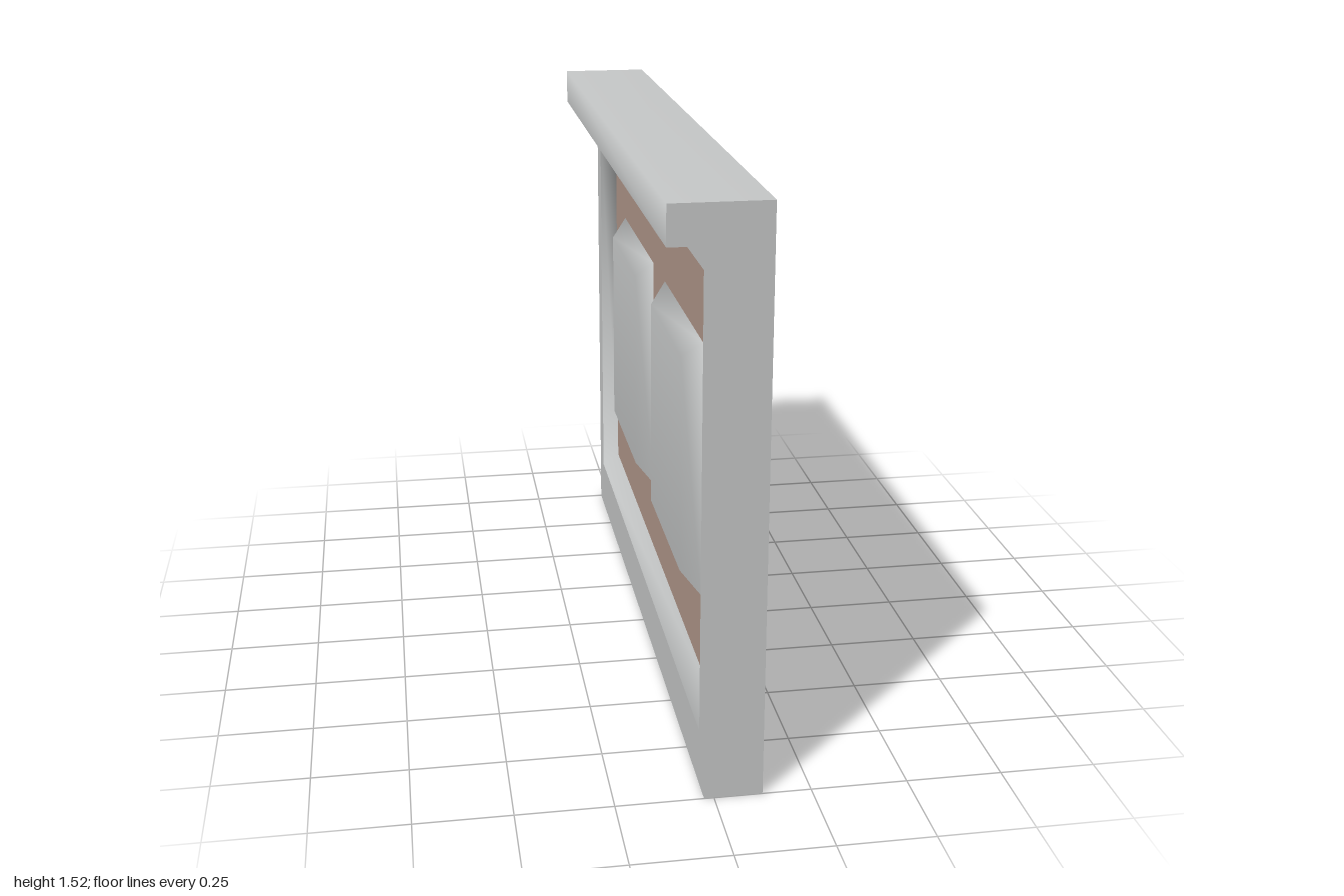
import * as THREE from 'three';
import { mergeVertices } from 'three/addons/utils/BufferGeometryUtils.js';

const grey = new THREE.MeshStandardMaterial({ color: 0xc6c8c8 });
grey.name = 'stone grey';
const brown = new THREE.MeshStandardMaterial({ color: 0xb2978a });
brown.name = 'panel brown';

const WALL_FRONT = -0.025, WALL_BACK = 0.125, PANEL_X = 0.022;
const LEDGE_X = -0.125, LEDGE_Y = 1.42, TOP = 1.52;

// Rectangle in the z-y plane, counter-clockwise as seen from -x
const rect = (x, z0, z1, y0, y1) => [[x, y0, z0], [x, y0, z1], [x, y1, z1], [x, y1, z0]];

// Skin through a series of rectangles, flat or smooth, optionally capped on the last one
function loft(name, loops, { cap = false, smooth = false } = {}) {
  const pos = [];
  const quad = (a, b, c, d) => pos.push(...a, ...b, ...c, ...a, ...c, ...d);
  for (let k = 0; k + 1 < loops.length; k++) {
    const a = loops[k], b = loops[k + 1];
    for (let i = 0; i < 4; i++) {
      const j = (i + 1) % 4;
      quad(a[i], a[j], b[j], b[i]);
    }
  }
  if (cap) quad(...loops[loops.length - 1]);
  let geo = new THREE.BufferGeometry();
  geo.setAttribute('position', new THREE.Float32BufferAttribute(pos, 3));
  if (smooth) geo = mergeVertices(geo);
  geo.computeVertexNormals();
  return named(name, geo, grey);
}

function named(name, geo, material) {
  const mesh = new THREE.Mesh(geo, material);
  mesh.name = name;
  return mesh;
}

export function createModel() {
  const group = new THREE.Group();
  group.name = 'panelledWall';

  // Wall sides and front border
  const opening = rect(WALL_FRONT, -0.925, 0.925, 0.15, 1.345);
  group.add(loft('wallFrame', [
    rect(WALL_BACK, -1, 1, 0, LEDGE_Y),
    rect(WALL_FRONT, -1, 1, 0, LEDGE_Y),
    opening,
  ]));

  // Sloping reveal down to the panel
  group.add(loft('reveal', [opening, rect(PANEL_X, -0.885, 0.885, 0.2, 1.295)], { smooth: true }));

  // Plain back of the wall
  const back = named('wallBack', new THREE.PlaneGeometry(2, TOP), grey);
  back.rotation.y = Math.PI / 2;
  back.position.set(WALL_BACK, TOP / 2, 0);
  group.add(back);

  // Brown panel with two openings
  const outline = (z0, z1, y0, y1, Type) => new Type(
    rect(0, z0, z1, y0, y1).map(([, y, z]) => new THREE.Vector2(z, y)));
  const panel = outline(-0.885, 0.885, 0.2, 1.295, THREE.Shape);
  const bevel = 0.05;
  for (const [z0, z1] of [[-0.68, -0.1], [0.1, 0.68]]) {
    panel.holes.push(outline(z0, z1, 0.405, 1.093, THREE.Path));
    // Raised field with bevelled edges, flush with the border
    group.add(loft('raisedField', [
      rect(PANEL_X, z0, z1, 0.405, 1.093),
      rect(WALL_FRONT, z0 + bevel, z1 - bevel, 0.405 + bevel, 1.093 - bevel),
    ], { cap: true, smooth: true }));
  }
  const panelMesh = named('brownPanel', new THREE.ShapeGeometry(panel), brown);
  panelMesh.rotation.y = -Math.PI / 2;
  panelMesh.position.x = PANEL_X;
  group.add(panelMesh);

  // Ledge top and outer face, shaded smoothly over the shared edge: x, y, normal x, normal y
  const edge = [
    [WALL_BACK, TOP, 0, 1],
    [LEDGE_X, TOP, -0.78, 0.62],
    [LEDGE_X, LEDGE_Y, -1, 0],
  ];
  const ledgeGeo = new THREE.BufferGeometry();
  ledgeGeo.setAttribute('position', new THREE.Float32BufferAttribute(
    edge.flatMap(([x, y]) => [x, y, -1, x, y, 1]), 3));
  ledgeGeo.setAttribute('normal', new THREE.Float32BufferAttribute(
    edge.flatMap(([, , nx, ny]) => [nx, ny, 0, nx, ny, 0]), 3));
  ledgeGeo.setIndex([0, 2, 3, 0, 3, 1, 2, 4, 5, 2, 5, 3]);
  group.add(named('ledgeTop', ledgeGeo, grey));

  // Ledge ends
  const width = WALL_BACK - LEDGE_X, height = TOP - LEDGE_Y;
  for (const s of [1, -1]) {
    const end = named('ledgeEnd', new THREE.PlaneGeometry(width, height), grey);
    if (s < 0) end.rotation.y = Math.PI;
    end.position.set((WALL_BACK + LEDGE_X) / 2, (TOP + LEDGE_Y) / 2, s);
    group.add(end);
  }

  // Brown underside of the overhang
  const under = named('ledgeUnderside', new THREE.PlaneGeometry(WALL_FRONT - LEDGE_X, 2), brown);
  under.rotation.x = Math.PI / 2;
  under.position.set((WALL_FRONT + LEDGE_X) / 2, LEDGE_Y, 0);
  group.add(under);

  // Underside of the wall
  const base = named('wallBase', new THREE.PlaneGeometry(WALL_BACK - WALL_FRONT, 2), grey);
  base.rotation.x = Math.PI / 2;
  base.position.set((WALL_BACK + WALL_FRONT) / 2, 0, 0);
  group.add(base);

  return group;
}
